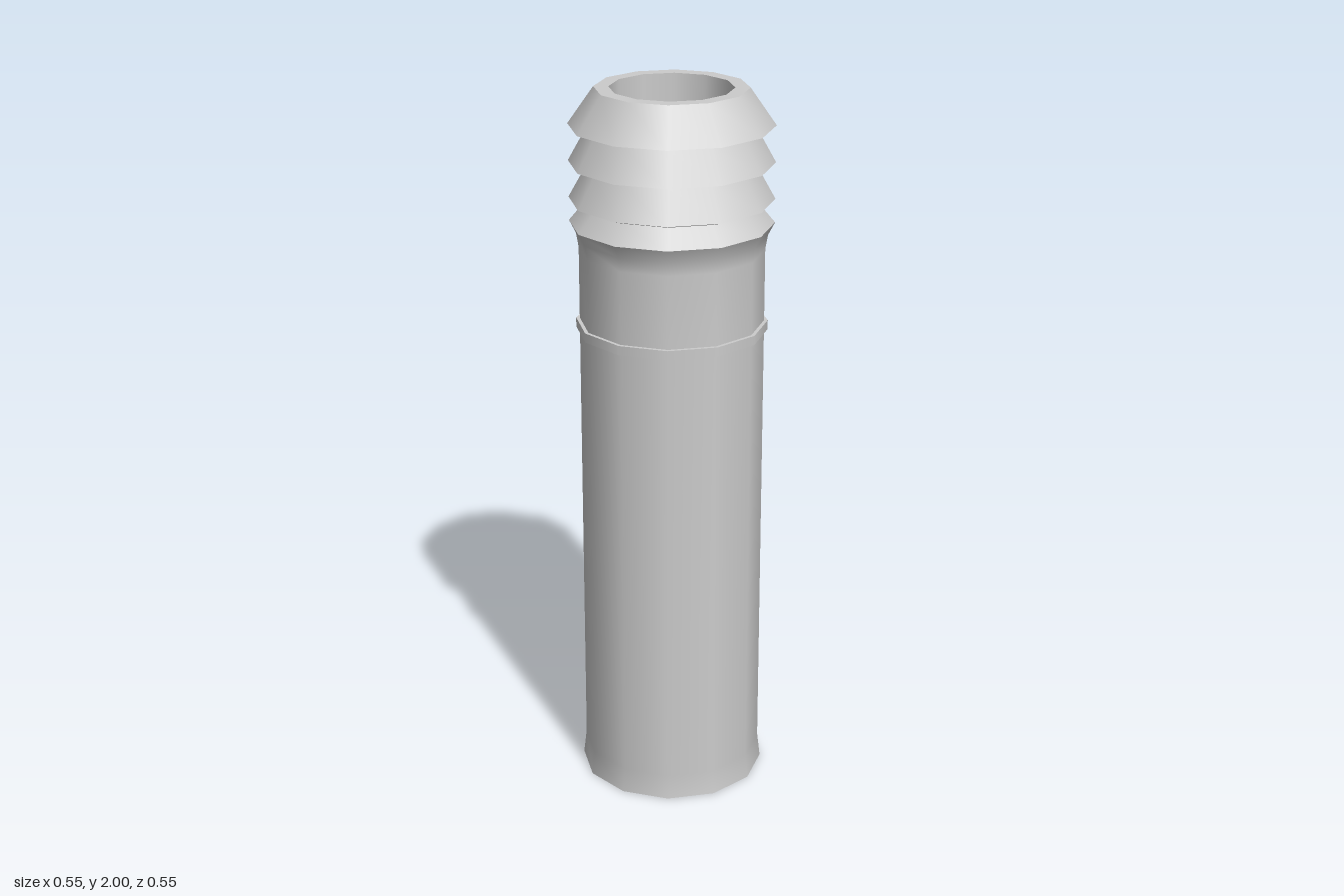
import * as THREE from 'three';

const SIDES = 12;
const material = new THREE.MeshStandardMaterial({ color: 0xcccccc });

// Turned surface through [radius, height] points; smooth along its length
function turned(points) {
  const profile = points.map(([r, y]) => new THREE.Vector2(r, y));
  return new THREE.Mesh(new THREE.LatheGeometry(profile, SIDES), material);
}

// Group of turned surfaces with a sharp edge between each pair of bands
function part(name, bands) {
  const group = new THREE.Group();
  group.name = name;
  bands.forEach((band) => group.add(turned(band)));
  return group;
}

export function createModel() {
  const model = new THREE.Group();
  model.name = 'hoseBarb';
  const ribR = 0.277, neckR = 0.228, topR = 0.207, boreR = 0.167;

  // Long shaft with a slightly flared foot and a closed bottom
  model.add(part('shaft', [
    [[0, 0], [0.26, 0]],
    [[0.26, 0], [0.252, 0.07], [0.252, 1.345]],
  ]));

  // Thin raised band around the shaft
  model.add(part('collar', [
    [[0.245, 1.332], [0.262, 1.332]],
    [[0.262, 1.332], [0.262, 1.358]],
    [[0.262, 1.358], [0.245, 1.358]],
  ]));

  // Upper shaft flaring out to the lowest rib
  model.add(part('upperShaft', [
    [[0.252, 1.345], [0.252, 1.56], [0.259, 1.6], [ribR, 1.635]],
    [[ribR, 1.635], [0.234, 1.686]],
  ]));

  // Three stacked conical ribs with undercuts
  [[1.7, neckR], [1.8, neckR], [1.9, topR]].forEach(([y, upperR], i) => {
    const lowerR = i === 0 ? 0.234 : neckR;
    const upperY = i === 2 ? 2 : y + 0.088;
    model.add(part(`rib${i + 1}`, [
      [[lowerR, y - (i === 0 ? 0.014 : 0.012)], [ribR, y]],
      [[ribR, y], [upperR, upperY]],
    ]));
  });

  // Flat rim and shallow recess in the top
  model.add(part('rimAndRecess', [
    [[topR, 2], [boreR, 2]],
    [[boreR, 2], [boreR, 1.905]],
    [[boreR, 1.905], [0, 1.905]],
  ]));

  return model;
}
